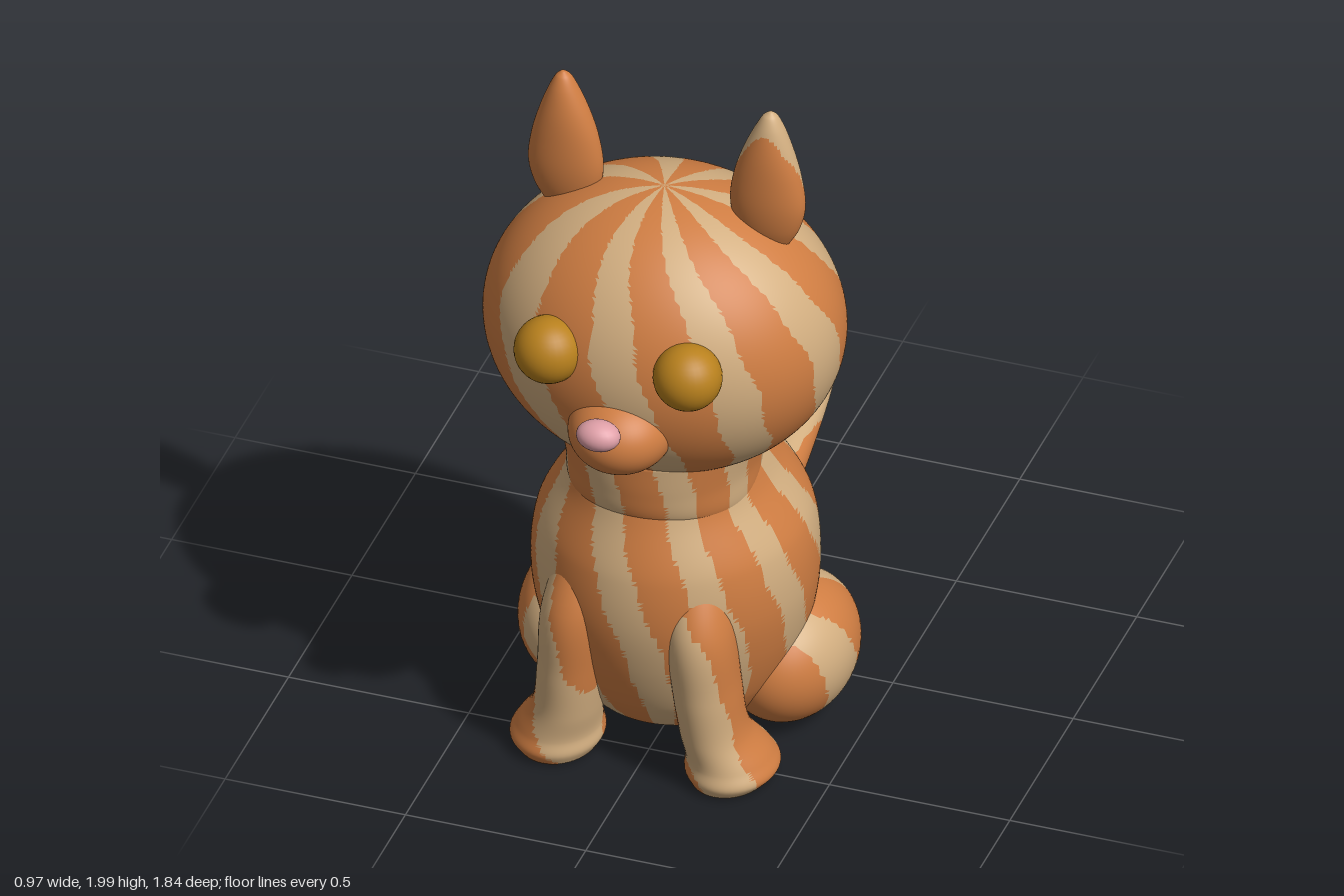
import * as THREE from 'three';

const mat = (name, color) => {
  const m = new THREE.MeshStandardMaterial({ color });
  m.name = name;
  return m;
};

// Smooth tube through elliptical rings [y, centreX, centreZ, radiusX, radiusZ], bottom to top
function loft(rings, rows = 40, segs = 64) {
  const centres = new THREE.CatmullRomCurve3(rings.map(r => new THREE.Vector3(r[1], r[0], r[2])));
  const radii = new THREE.CatmullRomCurve3(rings.map(r => new THREE.Vector3(r[3], r[0], r[4])));
  const pos = [], index = [];
  for (let i = 0; i <= rows; i++) {
    const c = centres.getPoint(i / rows), r = radii.getPoint(i / rows);
    for (let j = 0; j < segs; j++) {
      const a = (j / segs) * Math.PI * 2;
      pos.push(c.x + r.x * Math.sin(a), Math.max(0, c.y), c.z + r.z * Math.cos(a));
    }
  }
  for (let i = 0; i < rows; i++) {
    for (let j = 0; j < segs; j++) {
      const a = i * segs + j, b = i * segs + (j + 1) % segs;
      index.push(a, b, b + segs, a, b + segs, a + segs);
    }
  }
  // End caps
  const first = rings[0], last = rings[rings.length - 1], base = pos.length / 3;
  pos.push(first[1], first[0], first[2], last[1], last[0], last[2]);
  for (let j = 0; j < segs; j++) {
    const k = (j + 1) % segs, top = rows * segs;
    index.push(base, k, j, base + 1, top + j, top + k);
  }
  const geo = new THREE.BufferGeometry();
  geo.setAttribute('position', new THREE.Float32BufferAttribute(pos, 3));
  geo.setIndex(index);
  geo.computeVertexNormals();
  return geo;
}

const ellipsoid = (x, y, z, rx, ry, rz, w = 64, h = 40) =>
  new THREE.SphereGeometry(1, w, h).scale(rx, ry, rz).translate(x, y, z);

// Eight uneven light stripes twist around a vertical axis through the head
function isLight(x, y, z, shift) {
  const wobble = 0.03 * Math.sin(11 * y + 3 * x) + 0.015 * Math.sin(29 * y + 7 * z);
  const angle = Math.atan2(x, z - 0.38) + 0.9 * (y - 1.35) - shift + wobble;
  const uneven = -0.13 + 0.2 * Math.cos(angle + 0.4);
  return Math.cos(8 * (angle - uneven)) > 0.2;
}

// Sort the faces into an orange group and a light group
function stripe(geo, shift = 0) {
  const p = geo.attributes.position, idx = geo.index.array, sets = [[], []];
  for (let i = 0; i < idx.length; i += 3) {
    const f = [idx[i], idx[i + 1], idx[i + 2]];
    const mid = get => f.reduce((s, v) => s + p[get](v), 0) / 3;
    sets[isLight(mid('getX'), mid('getY'), mid('getZ'), shift) ? 1 : 0].push(...f);
  }
  geo.setIndex([...sets[0], ...sets[1]]);
  geo.clearGroups();
  geo.addGroup(0, sets[0].length, 0);
  geo.addGroup(sets[0].length, sets[1].length, 1);
  return geo;
}

export function createModel() {
  const group = new THREE.Group();
  group.name = 'sittingCat';
  const fur = [mat('orangeFur', 0xcf7d42), mat('lightFur', 0xd2ae80)];
  const eyeMat = mat('amberEye', 0xb9811d);
  const noseMat = mat('pinkNose', 0xe0a0a8);

  const add = (name, geo, material) => {
    const mesh = new THREE.Mesh(geo, material);
    mesh.name = name;
    group.add(mesh);
  };
  const addFur = (name, geo, shift) => add(name, stripe(geo, shift), fur);

  // Torso: [height, half width, back z, front z]
  const torso = [
    [0.04, 0.1, 0.15, 0.4], [0.1, 0.24, 0.03, 0.52], [0.2, 0.31, -0.05, 0.6],
    [0.35, 0.36, -0.1, 0.66], [0.5, 0.378, -0.11, 0.69], [0.65, 0.36, -0.095, 0.685],
    [0.8, 0.28, -0.015, 0.64], [0.9, 0.24, 0.09, 0.61], [0.95, 0.2, 0.17, 0.58],
  ].map(([y, w, back, front]) => [y, 0, (back + front) / 2, w, (front - back) / 2]);
  addFur('body', loft(torso, 100, 140));

  // Neck, head and muzzle
  addFur('neck', loft([
    [0.76, 0, 0.38, 0.24, 0.2], [0.82, 0, 0.38, 0.255, 0.25],
    [0.9, 0, 0.375, 0.26, 0.272], [1.0, 0, 0.375, 0.28, 0.28],
  ], 24, 112));
  addFur('head', ellipsoid(0, 1.3, 0.375, 0.485, 0.412, 0.412, 192, 104));
  add('muzzle', ellipsoid(0, 1.165, 0.72, 0.14, 0.115, 0.145), fur[0]);
  add('nose', ellipsoid(-0.01, 1.235, 0.872, 0.06, 0.042, 0.047, 24, 16), noseMat);

  // Mirrored parts, each with its own stripe shift
  const sides = [
    { side: 'left', s: 1, ear: 0.12, haunch: 0.08, leg: 0.35 },
    { side: 'right', s: -1, ear: 0, haunch: 0.2, leg: 0 },
  ];
  for (const { side, s, ear, haunch, leg } of sides) {
    add(side + 'Eye', ellipsoid(s * 0.193, 1.385, 0.745, 0.092, 0.092, 0.09, 32, 20), eyeMat);

    addFur(side + 'Ear', loft([
      [1.57, 0.275, 0.05, 0.02], [1.64, 0.278, 0.088, 0.045], [1.71, 0.28, 0.103, 0.056],
      [1.8, 0.281, 0.092, 0.057], [1.88, 0.283, 0.068, 0.051], [1.95, 0.286, 0.039, 0.036],
      [1.985, 0.287, 0.02, 0.02], [1.998, 0.288, 0.005, 0.005],
    ].map(([y, x, rx, rz]) => [y, s * x, 0.36, rx, rz]), 48, 48), ear);

    addFur(side + 'Haunch', ellipsoid(s * 0.28, 0.197, 0.182, 0.178, 0.193, 0.24, 72, 44), haunch);

    // Front leg flaring into a flat paw
    addFur(side + 'FrontLeg', loft([
      [0.01, 0.238, 0.53, 0.105, 0.135], [0.04, 0.242, 0.53, 0.124, 0.148],
      [0.08, 0.235, 0.535, 0.113, 0.135], [0.16, 0.205, 0.56, 0.092, 0.112],
      [0.3, 0.187, 0.575, 0.09, 0.11], [0.5, 0.17, 0.58, 0.09, 0.105],
      [0.74, 0.13, 0.48, 0.06, 0.07],
    ].map(([y, x, z, rx, rz]) => [y, s * x, z, rx, rz]), 48, 48), leg);
  }

  // Tail reaching straight back and slightly upward
  const tail = loft([
    [0, 0, 0, 0.06, 0.06], [0.25, 0, 0, 0.076, 0.072], [0.5, 0, 0, 0.069, 0.065],
    [0.75, 0, 0, 0.049, 0.047], [0.9, 0, 0, 0.031, 0.031], [0.965, 0, 0, 0.018, 0.018],
    [0.983, 0, 0, 0.005, 0.005],
  ], 64, 48);
  tail.rotateX(-1.407).translate(0.01, 0.165, 0.05);
  addFur('tail', tail, 0.2);

  return group;
}
